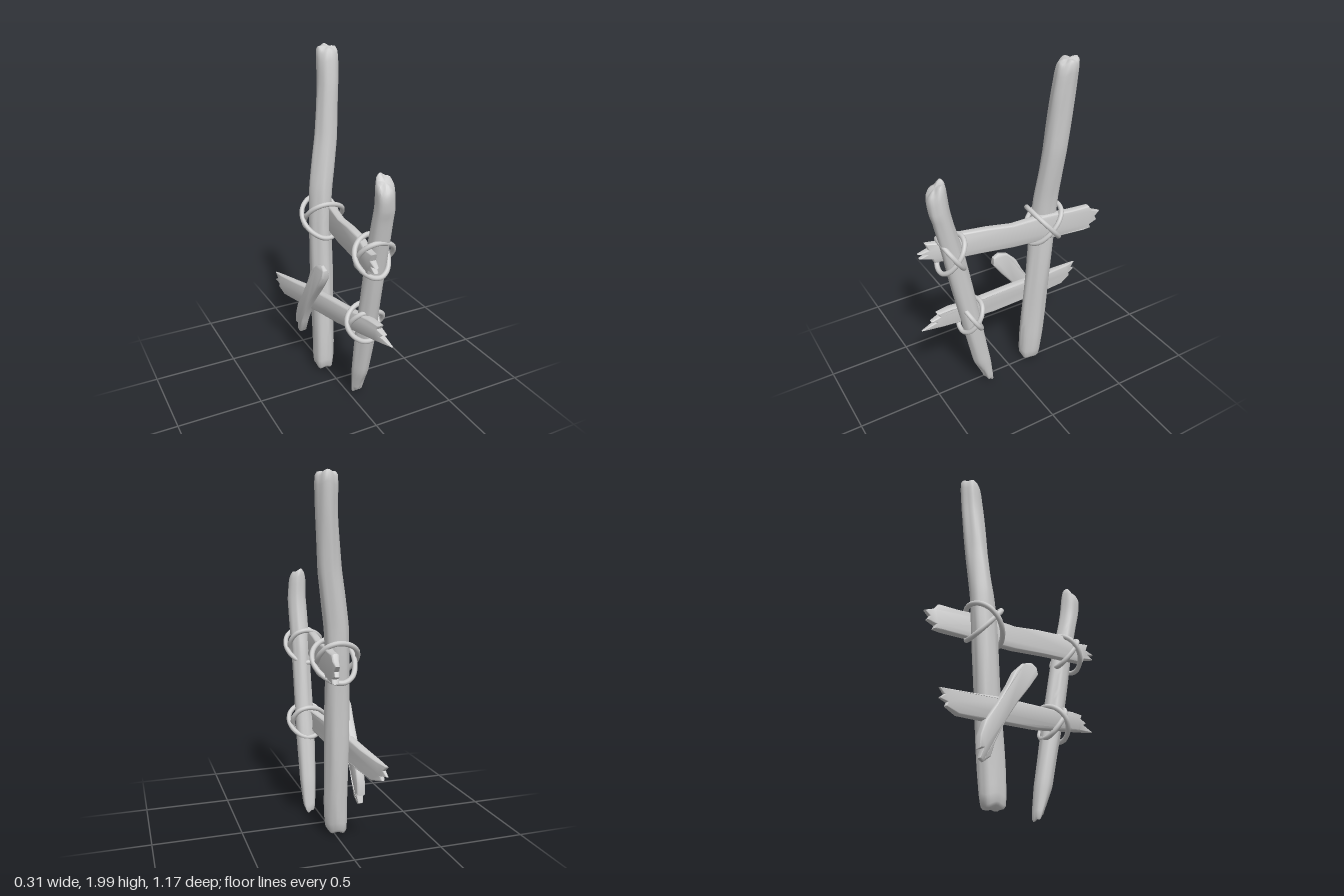
import * as THREE from 'three';
import { toCreasedNormals, mergeVertices } from 'three/addons/utils/BufferGeometryUtils.js';

const wood = new THREE.MeshStandardMaterial({ color: 0xcccccc });

// Linear interpolation through rows [y, centreX, centreZ, halfX, halfZ]
function sample(rows, y) {
  let i = 0;
  while (i < rows.length - 2 && y > rows[i + 1][0]) i++;
  const a = rows[i], b = rows[i + 1];
  const t = THREE.MathUtils.clamp((y - a[0]) / (b[0] - a[0]), 0, 1);
  return a.map((v, k) => v + (b[k] - v) * t);
}

// Rough log: lumpy oval sections stacked upward, closed with rounded, slanted ends
function log(name, rows, { slantTop = 0, slantBottom = 0, dome = 0.02, seed = 0 }) {
  const sides = 28, steps = 44;
  const y0 = rows[0][0], y1 = rows[rows.length - 1][0];
  const rings = [[y0 - dome, 0.02], [y0 - dome, 0.45], [y0 - dome * 0.7, 0.8]];
  for (let i = 0; i <= steps; i++) rings.push([y0 + (y1 - y0) * i / steps, i === 0 || i === steps ? 0.95 : 1]);
  rings.push([y1 + dome * 0.7, 0.8], [y1 + dome, 0.45], [y1 + dome * 0.9, 0.02]);

  const pos = [], index = [];
  for (const [y, s] of rings) {
    const [, cx, cz, a, b] = sample(rows, y);
    const top = THREE.MathUtils.smoothstep(y, y1 - 0.2, y1);
    const bottom = 1 - THREE.MathUtils.smoothstep(y, y0, y0 + 0.15);
    for (let j = 0; j < sides; j++) {
      const q = j / sides * Math.PI * 2;
      // long grain ridges that drift slowly with height
      const r = s * (1 + 0.035 * Math.sin(3 * q + 2.3 * y + seed) + 0.03 * Math.sin(5 * q - 3.1 * y + seed * 2)
        + 0.02 * Math.sin(8 * q + 5 * y) + 0.025 * Math.sin(9 * y + 2 * q + seed));
      const chip = (top + bottom) * s * 0.009 * Math.sin(4 * q + seed);
      pos.push(cx + a * r * Math.cos(q),
        y + s * Math.sin(q) * (slantTop * top + slantBottom * bottom) + chip,
        cz + b * r * Math.sin(q));
    }
  }
  for (let i = 0; i < rings.length - 1; i++) {
    for (let j = 0; j < sides; j++) {
      const k = (j + 1) % sides;
      const a = i * sides + j, b = i * sides + k, c = a + sides, d = b + sides;
      index.push(a, c, b, b, c, d);
    }
  }
  // end caps
  const last = (rings.length - 1) * sides;
  for (let j = 1; j < sides - 1; j++) index.push(0, j, j + 1, last, last + j + 1, last + j);

  const geo = new THREE.BufferGeometry();
  geo.setAttribute('position', new THREE.Float32BufferAttribute(pos, 3));
  geo.setIndex(index);
  geo.computeVertexNormals();
  const mesh = new THREE.Mesh(toCreasedNormals(geo, 0.9), wood);
  mesh.name = name;
  return mesh;
}

// Splintered plank: side outline of [z, y] points, thinned at the ends and bent sideways by xAt(z, y)
function plank(name, outline, thickness, xAt, endFade) {
  const shape = new THREE.Shape(outline.map(([z, y]) => new THREE.Vector2(-z, y)));
  const bevel = thickness * 0.3;
  let geo = new THREE.ExtrudeGeometry(shape, {
    depth: thickness - 2 * bevel, bevelThickness: bevel, bevelSize: 0.008, bevelOffset: -0.008, bevelSegments: 3,
  });
  geo.translate(0, 0, bevel - thickness / 2);
  geo.rotateY(Math.PI / 2);
  const p = geo.attributes.position;
  for (let i = 0; i < p.count; i++) {
    const z = p.getZ(i), y = p.getY(i);
    p.setX(i, xAt(z, y) + p.getX(i) * endFade(z, y));
  }
  geo.deleteAttribute('uv');
  geo.deleteAttribute('normal');
  geo = toCreasedNormals(mergeVertices(geo, 1e-5), 0.8);
  const mesh = new THREE.Mesh(geo, wood);
  mesh.name = name;
  return mesh;
}

// Two crossed loops of cord lashing a plank to a post
function lashing(name, [x, y, z], rx, dy, dz) {
  const group = new THREE.Group();
  group.name = name;
  for (const side of [-1, 1]) {
    const pts = [];
    for (let i = 0; i < 14; i++) {
      const q = i / 14 * Math.PI * 2;
      const r = 1 + 0.04 * Math.sin(3 * q + side);
      pts.push(new THREE.Vector3(
        x + side * 0.006 + rx * r * Math.cos(q),
        y + dy * r * Math.sin(q),
        z + side * dz * r * Math.sin(q) + 0.008 * side * Math.cos(q)));
    }
    const cord = new THREE.Mesh(
      new THREE.TubeGeometry(new THREE.CatmullRomCurve3(pts, true), 56, 0.0145, 10, true), wood);
    cord.name = 'cord';
    group.add(cord);
  }
  return group;
}

export function createModel() {
  const model = new THREE.Group();
  model.name = 'lashedFence';

  // Upright posts
  model.add(log('tallPost', [
    [0.045, -0.012, -0.16, 0.06, 0.072], [0.2, -0.006, -0.168, 0.064, 0.076], [0.6, 0, -0.195, 0.066, 0.075],
    [1.0, 0.005, -0.222, 0.065, 0.072], [1.2, 0.018, -0.232, 0.066, 0.07], [1.5, 0.062, -0.25, 0.062, 0.067],
    [1.8, 0.084, -0.272, 0.058, 0.066], [1.965, 0.09, -0.288, 0.06, 0.062],
  ], { slantTop: -0.012, dome: 0.022, seed: 1 }));
  model.add(log('shortPost', [
    [0.05, 0.047, 0.183, 0.036, 0.034], [0.2, 0.046, 0.22, 0.049, 0.051], [0.5, 0.045, 0.28, 0.055, 0.06],
    [1.0, 0.045, 0.378, 0.055, 0.06], [1.3, 0.045, 0.448, 0.054, 0.053], [1.415, 0.037, 0.458, 0.052, 0.05],
  ], { slantTop: -0.05, slantBottom: 0.03, dome: 0.022, seed: 3 }));

  // Cross planks
  const fadeZ = (z) => THREE.MathUtils.clamp((0.63 - Math.abs(z)) / 0.18, 0.3, 1);
  model.add(plank('upperPlank', [
    [0.545, 1.02], [0.49, 1.04], [0.505, 1.08], [0.42, 1.072], [0.3, 1.1], [0.15, 1.095], [0, 1.08], [-0.2, 1.1],
    [-0.35, 1.095], [-0.47, 1.1], [-0.49, 1.07], [-0.545, 1.05], [-0.515, 1.02], [-0.53, 0.995], [-0.48, 0.975],
    [-0.49, 0.95], [-0.44, 0.945], [-0.2, 0.94], [0, 0.935], [0.2, 0.945], [0.46, 0.95], [0.47, 0.975],
    [0.54, 0.99], [0.5, 1.01],
  ], 0.046, (z) => 0.032 - 0.145 * z, fadeZ));
  model.add(plank('lowerPlank', [
    [0.59, 0.565], [0.5, 0.588], [0.53, 0.605], [0.475, 0.62], [0.49, 0.645], [0.4, 0.645], [0.25, 0.62], [0, 0.6],
    [-0.2, 0.58], [-0.35, 0.555], [-0.5, 0.535], [-0.58, 0.525], [-0.55, 0.497], [-0.58, 0.472], [-0.53, 0.462],
    [-0.54, 0.44], [-0.46, 0.415], [-0.3, 0.43], [-0.1, 0.455], [0.1, 0.475], [0.3, 0.51], [0.45, 0.54], [0.52, 0.55],
  ], 0.046, (z) => -0.045 + 0.151 * z - 0.037 * z * z, fadeZ));

  // Loose slat leaning diagonally against the lower plank
  model.add(plank('diagonalSlat', [
    [0.06, 0.755], [0.055, 0.8], [0.02, 0.82], [-0.04, 0.8], [-0.1, 0.74], [-0.14, 0.66], [-0.22, 0.53], [-0.29, 0.43],
    [-0.32, 0.35], [-0.322, 0.28], [-0.298, 0.285], [-0.315, 0.235], [-0.29, 0.22], [-0.25, 0.25], [-0.225, 0.33],
    [-0.16, 0.45], [-0.08, 0.57], [0, 0.67],
  ], 0.048, (z) => -0.096 + 0.02 * z, (z, y) => THREE.MathUtils.clamp((0.36 - Math.abs(y - 0.52)) / 0.12, 0.4, 1)));

  // Cord lashings
  model.add(lashing('tallPostLashing', [0.015, 1.02, -0.218], 0.115, 0.105, 0.09));
  model.add(lashing('shortPostUpperLashing', [0.022, 1.01, 0.383], 0.1, 0.098, 0.066));
  model.add(lashing('shortPostLowerLashing', [0.032, 0.557, 0.283], 0.1, 0.092, 0.056));

  return model;
}
